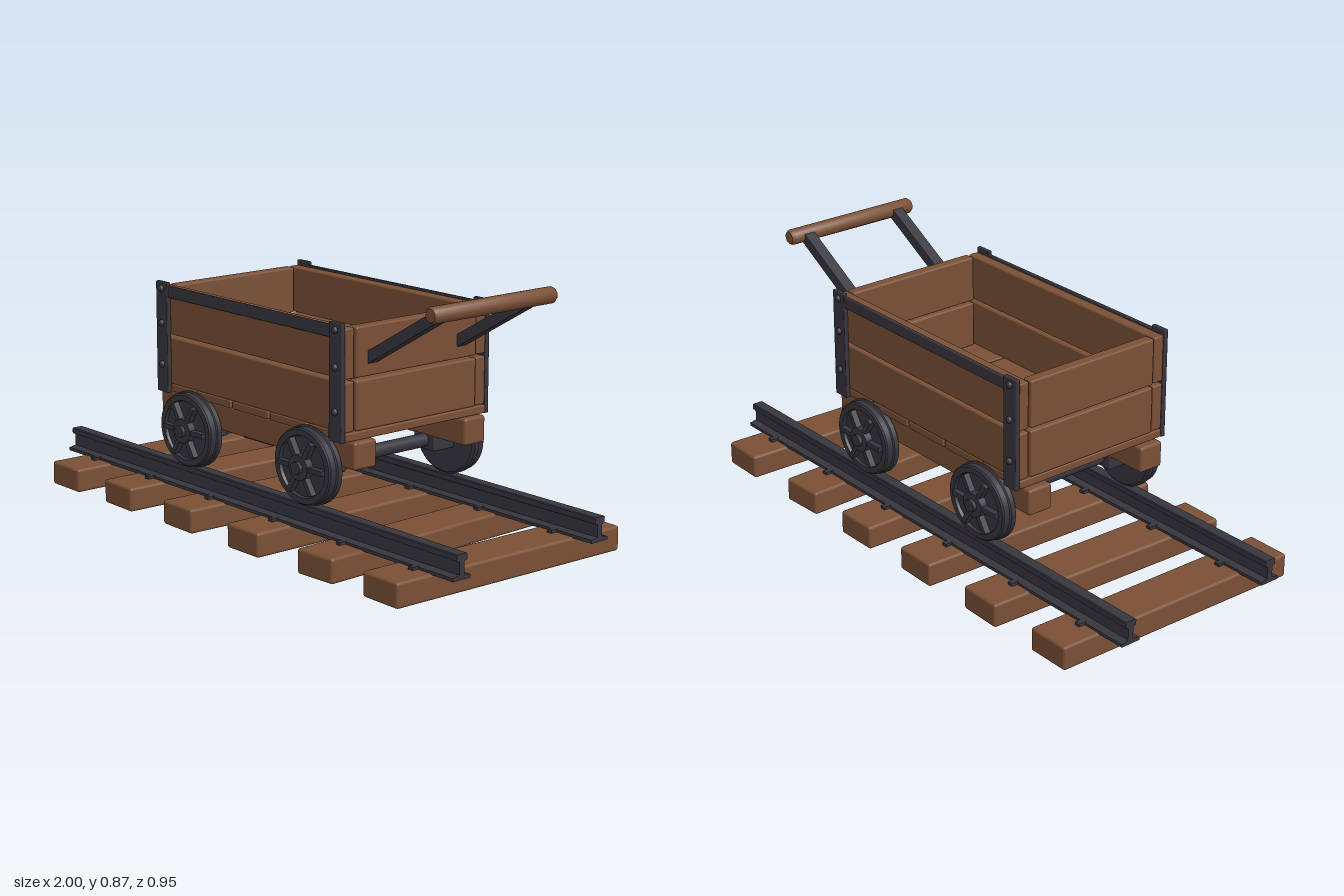
import * as THREE from 'three';
import { RoundedBoxGeometry } from 'three/addons/geometries/RoundedBoxGeometry.js';
import { toCreasedNormals } from 'three/addons/utils/BufferGeometryUtils.js';

export function createModel() {
  const model = new THREE.Group();
  model.name = 'railCart';
  const wood = new THREE.MeshStandardMaterial({ color: 0x7a5036 });
  wood.name = 'brown wood';
  const iron = new THREE.MeshStandardMaterial({ color: 0x38363e });
  iron.name = 'dark iron';

  const add = (parent, name, geometry, material, x = 0, y = 0, z = 0) => {
    const mesh = new THREE.Mesh(geometry, material);
    mesh.name = name;
    mesh.position.set(x, y, z);
    parent.add(mesh);
    return mesh;
  };
  // Softly rounded block given by its limits on each axis
  const block = (parent, name, material, [x0, x1], [y0, y1], [z0, z1], r = 0.007) =>
    add(parent, name, new RoundedBoxGeometry(x1 - x0, y1 - y0, z1 - z0, 2, r), material,
      (x0 + x1) / 2, (y0 + y1) / 2, (z0 + z1) / 2);
  const group = (name, parent = model) => {
    const g = new THREE.Group();
    g.name = name;
    parent.add(g);
    return g;
  };

  // Track: slightly crooked sleepers, each with tie plates under the rails
  const track = group('track');
  const sleepers = [[-0.822, -0.01], [-0.5, -0.025], [-0.165, -0.022],
    [0.17, 0], [0.505, 0.042], [0.838, -0.02]];
  for (const [x, skew] of sleepers) {
    const s = add(track, 'sleeper', new RoundedBoxGeometry(0.16, 0.083, 0.94, 2, 0.01), wood, x, 0.0415, 0);
    s.rotation.y = skew / 0.94;
    for (const side of [-1, 1])
      add(track, 'railSpikes', new THREE.BoxGeometry(0.02, 0.014, 0.117), iron, x, 0.086, side * 0.297);
  }

  // Rails: foot, web and head in one section
  const half = [[0.036, 0.08], [0.036, 0.091], [0.01, 0.096], [0.01, 0.136], [0.021, 0.141], [0.021, 0.158], [0.018, 0.161]];
  const section = [...half, ...half.map(([x, y]) => [-x, y]).reverse()];
  const railGeo = new THREE.ExtrudeGeometry(
    new THREE.Shape(section.map(([x, y]) => new THREE.Vector2(x, y))),
    { depth: 2, bevelEnabled: false });
  railGeo.translate(0, 0, -1).rotateY(Math.PI / 2);
  for (const side of [-1, 1]) add(track, 'rail', railGeo, iron, 0, 0, side * 0.297);

  // Undercarriage: beams, bearings and axles
  const cart = group('cart');
  for (const side of [-1, 1]) {
    const z = side < 0 ? [-0.282, -0.19] : [0.19, 0.282];
    block(cart, 'chassisBeam', wood, [-0.507, 0.5], [0.305, 0.396], z, 0.01);
    for (const x of [-0.305, 0.305])
      block(cart, 'bearing', iron, [x - 0.05, x + 0.05], [0.257, 0.312], z);
  }
  const axleGeo = new THREE.CylinderGeometry(0.023, 0.023, 0.6, 20).rotateX(Math.PI / 2);

  // Wheels: rim with recessed disc, six spokes, hub and cap
  const rim = [[0, 0.282], [0.135, 0.282], [0.143, 0.288], [0.143, 0.305], [0.138, 0.309],
    [0.138, 0.33], [0.133, 0.335], [0.112, 0.335], [0.108, 0.326], [0, 0.326]];
  const rimGeo = toCreasedNormals(
    new THREE.LatheGeometry(rim.map(([r, y]) => new THREE.Vector2(r, y)), 40), 0.5).rotateX(Math.PI / 2);
  const disc = (r, z0, z1, n) => new THREE.CylinderGeometry(r, r, z1 - z0, n)
    .rotateX(Math.PI / 2).translate(0, 0, (z0 + z1) / 2);
  const hubGeo = disc(0.046, 0.32, 0.351, 24);
  const capGeo = disc(0.023, 0.35, 0.363, 12);
  const spokeGeo = new THREE.BoxGeometry(0.07, 0.018, 0.024).translate(0.073, 0, 0.335);
  for (const x of [-0.305, 0.305]) {
    add(cart, 'axle', axleGeo, iron, x, 0.289, 0);
    for (const turn of [0, Math.PI]) {
      const wheel = group('wheel', cart);
      wheel.position.set(x, 0.289, 0);
      wheel.rotation.y = turn;
      wheel.scale.y = 0.905;
      add(wheel, 'wheelRim', rimGeo, iron);
      add(wheel, 'wheelHub', hubGeo, iron);
      add(wheel, 'hubCap', capGeo, iron);
      for (let i = 0; i < 6; i++)
        add(wheel, 'spoke', spokeGeo, iron).rotation.z = (i * Math.PI) / 3;
    }
  }

  // Floor planks laid crosswise with narrow gaps
  for (let i = 0; i < 5; i++) {
    const x = (i - 2) * 0.194;
    block(cart, 'floorPlank', wood, [x - 0.093, x + 0.093], [0.396, 0.424], [-0.3, 0.3], 0.005);
  }

  // Box walls: two boards high on every side
  for (const y of [[0.424, 0.586], [0.594, 0.756]]) {
    for (const z of [[0.262, 0.302], [-0.302, -0.262]])
      block(cart, 'sideBoard', wood, [-0.478, 0.474], y, z);
    for (const x of [[-0.482, -0.442], [0.438, 0.478]])
      block(cart, 'endBoard', wood, x, y, [-0.257, 0.257]);
  }

  // Iron straps and bolts on both long sides
  const boltGeo = new THREE.SphereGeometry(0.012, 12, 8);
  for (const side of [-1, 1]) {
    const span = (a, b) => (side > 0 ? [a, b] : [-b, -a]);
    block(cart, 'topStrap', iron, [-0.43, 0.425], [0.722, 0.762], span(0.3, 0.313), 0.003);
    for (const x of [-0.45, 0.445]) {
      block(cart, 'cornerStrap', iron, [x - 0.031, x + 0.031], [0.394, 0.773], span(0.301, 0.317), 0.003);
      for (const y of [0.75, 0.632, 0.49]) add(cart, 'bolt', boltGeo, iron, x, y, side * 0.317);
    }
  }

  // Push handle: two sloping arms and a round wooden grip
  const handle = group('handle', cart);
  for (const z of [-0.19, 0.19]) {
    const arm = add(handle, 'handleArm', new THREE.BoxGeometry(0.4, 0.036, 0.04), iron, 0.64, 0.748, z);
    arm.rotation.z = 0.52;
  }
  const grip = [[0, -0.259], [0.021, -0.259], [0.027, -0.25], [0.027, 0.25], [0.021, 0.259], [0, 0.259]];
  const gripGeo = toCreasedNormals(
    new THREE.LatheGeometry(grip.map(([r, y]) => new THREE.Vector2(r, y)), 16), 0.6).rotateX(Math.PI / 2);
  add(handle, 'grip', gripGeo, wood, 0.81, 0.843, 0);

  return model;
}
